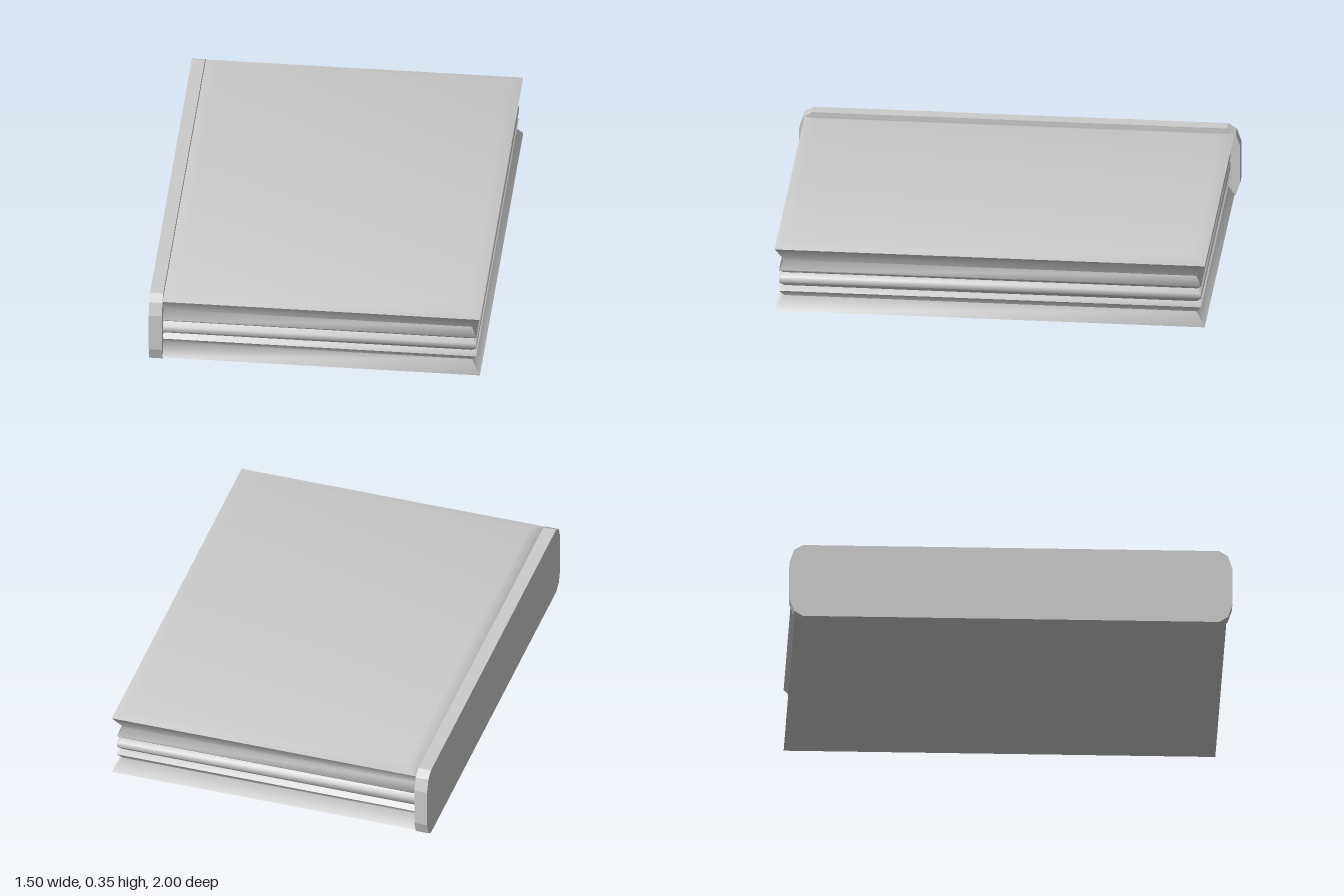
import * as THREE from 'three';
import { toCreasedNormals } from 'three/addons/utils/BufferGeometryUtils.js';

const SPINE_X = -0.69;
const grey = () => new THREE.MeshStandardMaterial({ color: 0xcccccc });

// Stack of rectangular rings, bottom to top: [y, inset on three open sides, inset at spine]
const RINGS = [
  [0.007, 0.06, 0.06],
  [0.027, 0, 0],
  [0.087, 0.04, 0],
  [0.117, 0.018, 0],
  [0.137, 0.04, 0],
  [0.16, 0.018, 0],
  [0.185, 0.018, 0],
  [0.202, 0.038, 0],
  [0.22, 0.018, 0],
  [0.263, 0.04, 0],
  [0.33, 0, 0],
  [0.35, 0.06, 0.06],
];

function pleatedBody() {
  const rings = RINGS.map(([y, inset, spineInset]) => {
    const right = 0.75 - inset, left = SPINE_X + spineInset, z = 0.975 - inset;
    return [[right, y, z], [right, y, -z], [left, y, -z], [left, y, z]];
  });
  const points = [];
  const quad = (a, b, c, d) => points.push(...a, ...b, ...c, ...a, ...c, ...d);

  // Side walls between successive rings
  for (let r = 0; r < rings.length - 1; r++) {
    for (let i = 0; i < 4; i++) {
      const j = (i + 1) % 4;
      quad(rings[r][i], rings[r][j], rings[r + 1][j], rings[r + 1][i]);
    }
  }
  // Covers
  quad(...rings[rings.length - 1]);
  quad(...[...rings[0]].reverse());

  const geometry = new THREE.BufferGeometry();
  geometry.setAttribute('position', new THREE.Float32BufferAttribute(points, 3));
  return toCreasedNormals(geometry, 1.35);
}

function spinePlate() {
  // Long plate outline with softened corners, extruded to its thickness
  const height = 0.353;
  const corner = [[0.94, 0], [0.98, 0.025], [1, 0.085]];
  const rightSide = [...corner, ...corner.map(([z, y]) => [z, height - y]).reverse()];
  const leftSide = rightSide.map(([z, y]) => [-z, y]).reverse();
  const shape = new THREE.Shape([...rightSide, ...leftSide].map(([z, y]) => new THREE.Vector2(z, y)));
  const geometry = new THREE.ExtrudeGeometry(shape, { depth: 0.06, bevelEnabled: false });
  geometry.rotateY(Math.PI / 2);
  geometry.translate(-0.75, 0, 0);
  return geometry;
}

export function createModel() {
  const model = new THREE.Group();
  model.name = 'book';

  const body = new THREE.Mesh(pleatedBody(), grey());
  body.name = 'coversAndPages';
  const spine = new THREE.Mesh(spinePlate(), grey());
  spine.name = 'spine';

  model.add(body, spine);
  return model;
}
